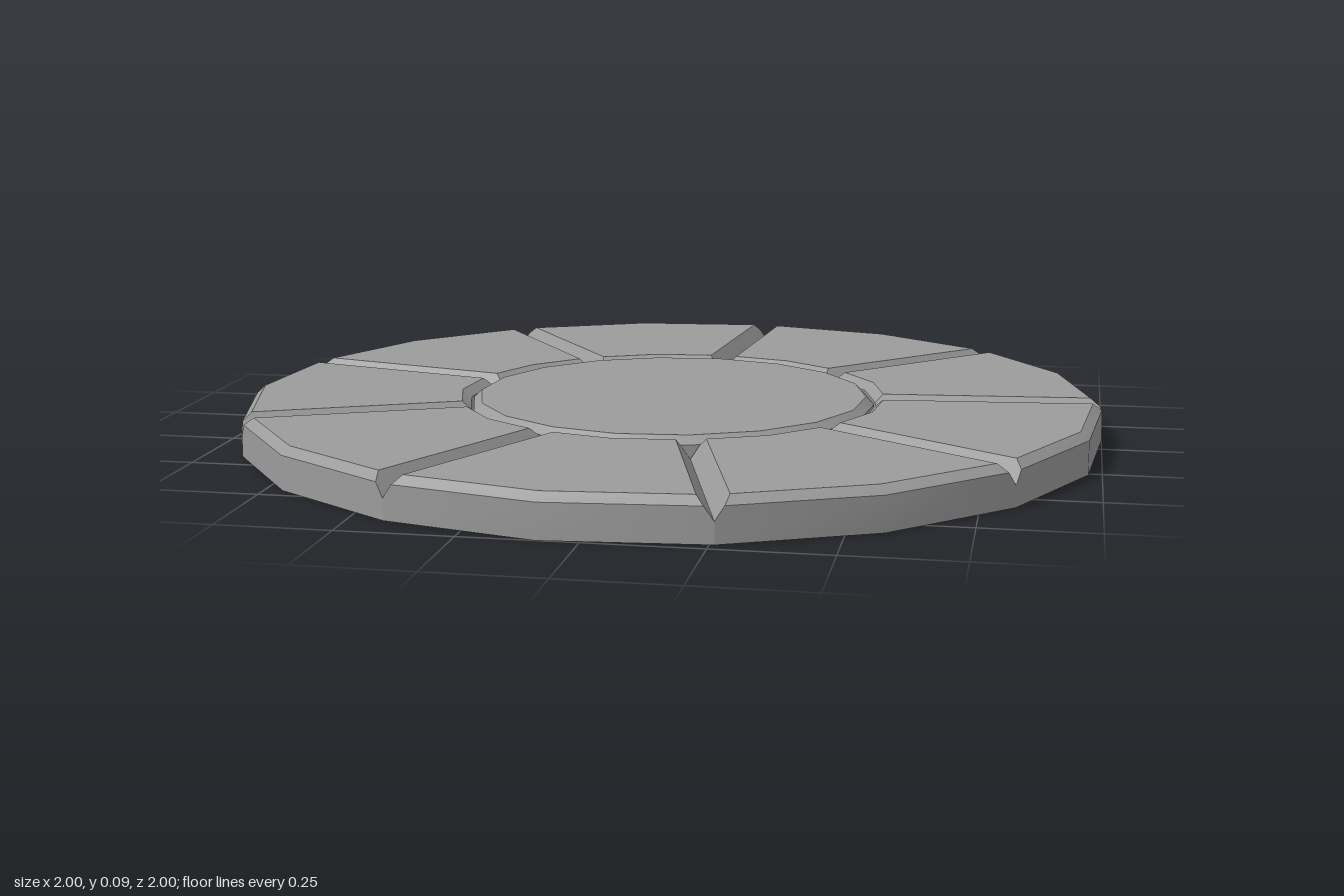
import * as THREE from 'three';
import { toCreasedNormals } from 'three/addons/utils/BufferGeometryUtils.js';

const SIDES = 18, SECTORS = 9;
const STEP = (2 * Math.PI) / SIDES;
const START = THREE.MathUtils.degToRad(5);
const CREASE = THREE.MathUtils.degToRad(30); // smooth round the rim, sharp at bevels
const H = 0.095, SHOULDER = 0.077;           // top and foot of the bevels
const GROOVE_Y = 0.047, GROOVE_W = 0.033;    // floor height and half width of the V grooves
const OUTER_R = 1.004, INNER_R = 0.481;

// Ring profile, from outer bottom over the top to inner bottom: [vertex radius, height]
const PROFILE = [
  [OUTER_R, 0], [OUTER_R, SHOULDER], [0.984, H],
  [0.502, H], [INNER_R, SHOULDER], [INNER_R, 0],
];

// Point on a polygon side, t away from the corner that lies at angle a
function sidePoint(r, y, a, t) {
  const along = r - Math.abs(t) * Math.tan(STEP / 2);
  return new THREE.Vector3(
    along * Math.cos(a) - t * Math.sin(a), y,
    -along * Math.sin(a) - t * Math.cos(a));
}

// One ring sector, two polygon sides wide, with half a V groove at either end
function sectorGeometry() {
  const a0 = START, a1 = START + STEP, a2 = START + 2 * STEP;
  const centre = a => PROFILE.map(([, y], j) =>
    sidePoint(j < 3 ? OUTER_R : INNER_R, Math.min(y, GROOVE_Y), a, 0));
  // groove lip: narrower at the shoulder because the groove walls slope
  const lip = (a, sign) => PROFILE.map(([r, y]) => {
    const k = (Math.max(y, SHOULDER) - GROOVE_Y) / (H - GROOVE_Y);
    return sidePoint(r, y, a, sign * GROOVE_W * k);
  });
  const corner = PROFILE.map(([r, y]) => sidePoint(r, y, a1, 0));
  const stations = [centre(a0), lip(a0, 1), corner, lip(a2, -1), centre(a2)];

  const pos = [];
  const tri = new THREE.Triangle();
  const addTri = (a, b, c) => {
    if (tri.set(a, b, c).getArea() < 1e-8) return;
    for (const p of [a, b, c]) pos.push(p.x, p.y, p.z);
  };
  for (let i = 0; i < stations.length - 1; i++) {
    for (let j = 0; j < PROFILE.length; j++) {
      const k = (j + 1) % PROFILE.length;
      const a = stations[i][j], b = stations[i + 1][j];
      const c = stations[i + 1][k], d = stations[i][k];
      addTri(a, b, c);
      addTri(a, c, d);
    }
  }
  const geo = new THREE.BufferGeometry();
  geo.setAttribute('position', new THREE.Float32BufferAttribute(pos, 3));
  return toCreasedNormals(geo, CREASE);
}

export function createModel() {
  const model = new THREE.Group();
  model.name = 'roundPlatform';
  const material = new THREE.MeshStandardMaterial({ color: 0x9b9b9b });

  // Outer ring of grooved sectors
  const ring = new THREE.Group();
  ring.name = 'outerRing';
  const sector = sectorGeometry();
  for (let i = 0; i < SECTORS; i++) {
    const mesh = new THREE.Mesh(sector, material);
    mesh.name = `ringSector${i + 1}`;
    mesh.rotation.y = i * 2 * STEP;
    ring.add(mesh);
  }
  model.add(ring);

  // Bevelled centre disc, set in with a thin gap
  const discProfile = [[0, 0], [0.475, 0], [0.475, SHOULDER], [0.456, H], [0, H]]
    .map(([r, y]) => new THREE.Vector2(r, y));
  const discGeometry = new THREE.LatheGeometry(discProfile, SIDES, START + Math.PI / 2);
  const disc = new THREE.Mesh(toCreasedNormals(discGeometry, CREASE), material);
  disc.name = 'centreDisc';
  model.add(disc);

  return model;
}
